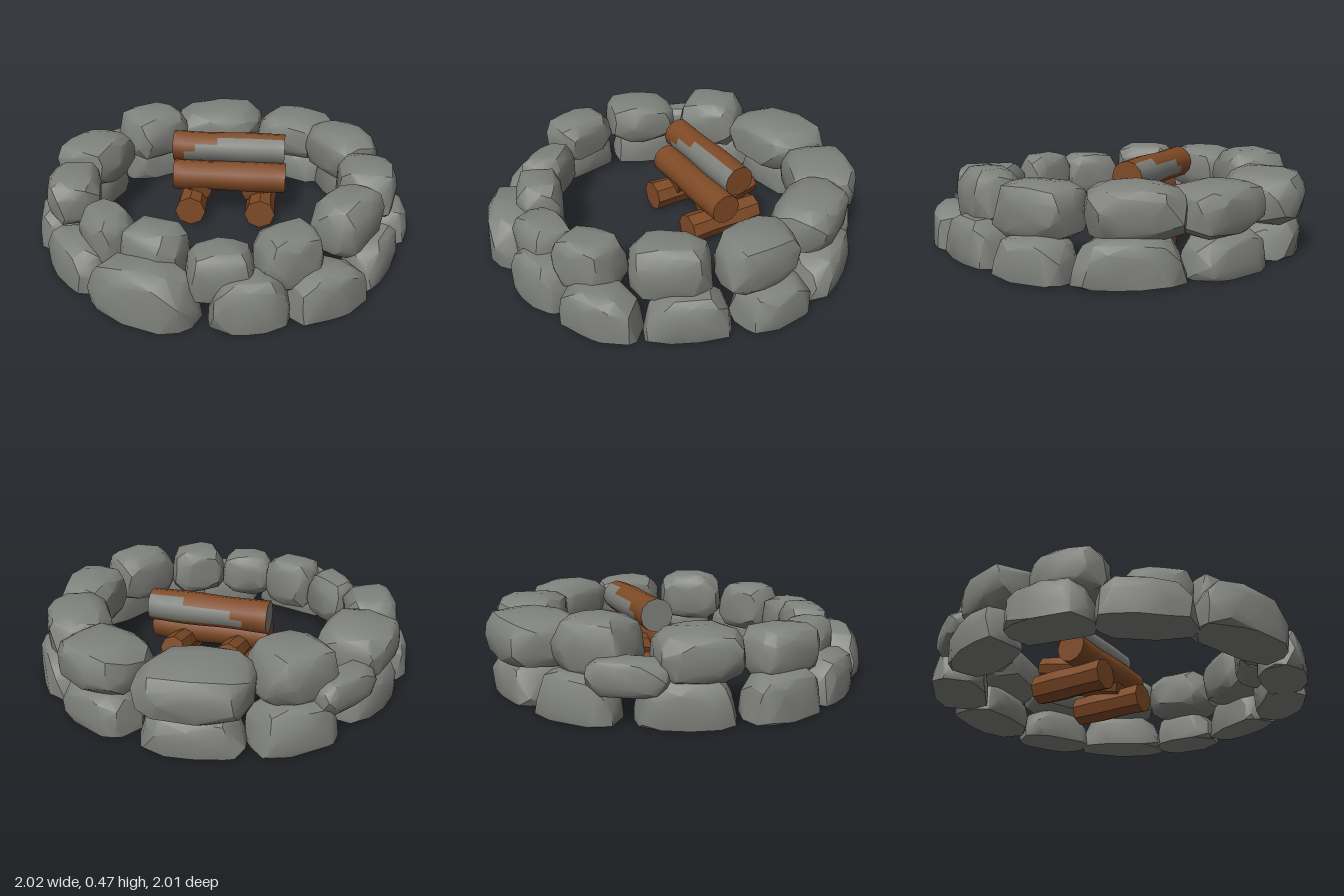
import * as THREE from 'three';
import { toCreasedNormals } from 'three/addons/utils/BufferGeometryUtils.js';
import { ConvexGeometry } from 'three/addons/geometries/ConvexGeometry.js';

let seed = 7;
const rand = () => {
  seed = (seed * 16807) % 2147483647;
  return seed / 2147483647;
};

// Chiselled boulder: convex hull of jittered points on a rounded box, fitted to w x h x d.
// A flat base cuts it low down, where it is widest.
function stoneGeometry(w, h, d, flatBase) {
  const points = [];
  const count = 80;
  for (let i = 0; i < count; i++) {
    const y = 1 - (2 * (i + 0.5)) / count;
    const a = i * 2.39996 + rand() * 0.4;
    const s = Math.sqrt(1 - y * y);
    const p = new THREE.Vector3(Math.cos(a) * s, y, Math.sin(a) * s);
    const n = 3.8;
    const k = Math.pow(Math.abs(p.x) ** n + Math.abs(p.y) ** n + Math.abs(p.z) ** n, -1 / n);
    p.multiplyScalar(k * (0.92 + rand() * 0.08));
    if (flatBase) p.y = Math.max(p.y, -0.35);
    points.push(p);
  }
  // Skew a little so that no two stones match; ground stones narrow upwards
  const skewX = (rand() - 0.5) * 0.2, skewZ = (rand() - 0.5) * 0.16;
  const taper = flatBase ? 0.12 : rand() * 0.1;
  for (const p of points) {
    p.x = p.x * (1 - taper * p.y) + skewX * p.z;
    p.z += skewZ * p.x;
  }
  const box = new THREE.Box3().setFromPoints(points);
  const size = box.getSize(new THREE.Vector3());
  const mid = box.getCenter(new THREE.Vector3());
  for (const p of points) p.sub(mid).divide(size).multiply(new THREE.Vector3(w, h, d));
  return toCreasedNormals(new ConvexGeometry(points), 0.55);
}

// Log lying along local y: eight sides stay faceted, twelve are shaded smooth
const ROWS = 10;
function logGeometry(radius, length, sides) {
  const g = new THREE.CylinderGeometry(radius, radius * 0.97, length, sides, ROWS);
  const pos = g.attributes.position;
  for (let i = 0; i < pos.count; i++) {
    const swell = 1 + 0.03 * Math.sin((pos.getY(i) / length) * 9);
    pos.setX(i, pos.getX(i) * swell);
    pos.setZ(i, pos.getZ(i) * swell);
  }
  return toCreasedNormals(g, 0.58);
}

export function createModel() {
  const model = new THREE.Group();
  const stone = new THREE.MeshStandardMaterial({ color: 0x7f817c });
  stone.name = 'stone grey';
  const wood = new THREE.MeshStandardMaterial({ color: 0x7f4a26 });
  wood.name = 'bark brown';

  // Stone courses: x, z, tangential width, radial depth, bottom, top
  const lower = [
    [0.86, -0.03, 0.39, 0.28, 0, 0.2], [0.73, -0.43, 0.52, 0.28, 0, 0.22],
    [0.39, -0.74, 0.44, 0.28, 0, 0.2], [-0.10, -0.82, 0.5, 0.3, 0, 0.2],
    [-0.53, -0.67, 0.43, 0.28, 0, 0.22], [-0.80, -0.27, 0.45, 0.26, 0, 0.22],
    [-0.87, 0.18, 0.42, 0.25, 0, 0.22], [-0.67, 0.55, 0.46, 0.25, 0, 0.22],
    [-0.30, 0.84, 0.54, 0.26, 0, 0.27], [0.19, 0.85, 0.38, 0.24, 0, 0.24],
    [0.53, 0.71, 0.42, 0.25, 0, 0.22], [0.77, 0.38, 0.42, 0.22, 0, 0.22]
  ];
  const upper = [
    [-0.10, -0.785, 0.55, 0.42, 0.16, 0.42], [0.38, -0.69, 0.45, 0.38, 0.17, 0.42],
    [0.65, -0.42, 0.46, 0.33, 0.17, 0.44], [0.765, 0.0, 0.42, 0.31, 0.15, 0.43],
    [0.64, 0.40, 0.40, 0.28, 0.14, 0.44], [0.36, 0.68, 0.34, 0.27, 0.10, 0.39],
    [0.05, 0.79, 0.32, 0.25, 0.07, 0.35], [-0.27, 0.68, 0.31, 0.25, 0.07, 0.38],
    [-0.54, 0.52, 0.33, 0.24, 0.09, 0.36], [-0.78, 0.22, 0.38, 0.28, 0.15, 0.41],
    [-0.765, -0.19, 0.41, 0.37, 0.17, 0.43], [-0.50, -0.57, 0.40, 0.36, 0.17, 0.46],
    // Small wedge stone filling an outer gap
    [-0.74, -0.51, 0.38, 0.17, 0.13, 0.31]
  ];
  for (const [name, course] of [['lowerStones', lower], ['upperStones', upper]]) {
    const ring = new THREE.Group();
    ring.name = name;
    course.forEach(([x, z, w, d, y0, y1], i) => {
      const mesh = new THREE.Mesh(stoneGeometry(w, y1 - y0, d, y0 === 0), stone);
      mesh.name = name.slice(0, -1) + (i + 1);
      mesh.position.set(x, (y0 + y1) / 2, z);
      mesh.rotation.y = Math.atan2(x, z);
      ring.add(mesh);
    });
    model.add(ring);
  }

  // Log stretched from point a to point b
  const firewood = new THREE.Group();
  firewood.name = 'firewood';
  const addLog = (name, a, b, radius, sides, material = wood) => {
    const from = new THREE.Vector3(...a), to = new THREE.Vector3(...b);
    const dir = to.clone().sub(from);
    const mesh = new THREE.Mesh(logGeometry(radius, dir.length(), sides), material);
    mesh.name = name;
    mesh.position.copy(from).add(to).multiplyScalar(0.5);
    mesh.quaternion.setFromUnitVectors(new THREE.Vector3(0, 1, 0), dir.normalize());
    firewood.add(mesh);
    return mesh;
  };

  // Pairs of ground logs and the leaning logs resting between them
  for (const side of [-1, 1]) {
    addLog('groundLog', [side * 0.195, 0.085, 0.03], [side * 0.195, 0.085, -0.4], 0.085, 8);
    addLog('leaningLog', [side * 0.15, 0.16, -0.08], [side * 0.145, 0.24, -0.41], 0.065, 8);
  }
  addLog('middleLog', [-0.3, 0.24, -0.125], [0.33, 0.24, -0.125], 0.085, 12);

  // Top log with ash-grey patches along its front and back, and on one end.
  // Each entry gives the rows, counted from the left end, that are ash on that side.
  const topSides = 12;
  const topLog = addLog('topLog', [-0.31, 0.382, -0.208], [0.32, 0.382, -0.208], 0.086, topSides, [wood, stone]);
  const ashRows = { 0: 9, 1: 9, 5: 8, 6: 7, 7: 3, 10: 6, 11: 8 };
  const g = topLog.geometry;
  g.clearGroups();
  for (let side = 0; side < topSides; side++) {
    for (let row = 0; row < ROWS; row++) {
      g.addGroup((side * ROWS + row) * 6, 6, row < (ashRows[side] ?? 0) ? 1 : 0);
    }
  }
  const caps = topSides * ROWS * 6;
  g.addGroup(caps, topSides * 3, 0);
  g.addGroup(caps + topSides * 3, topSides * 3, 1);

  model.add(firewood);
  return model;
}
